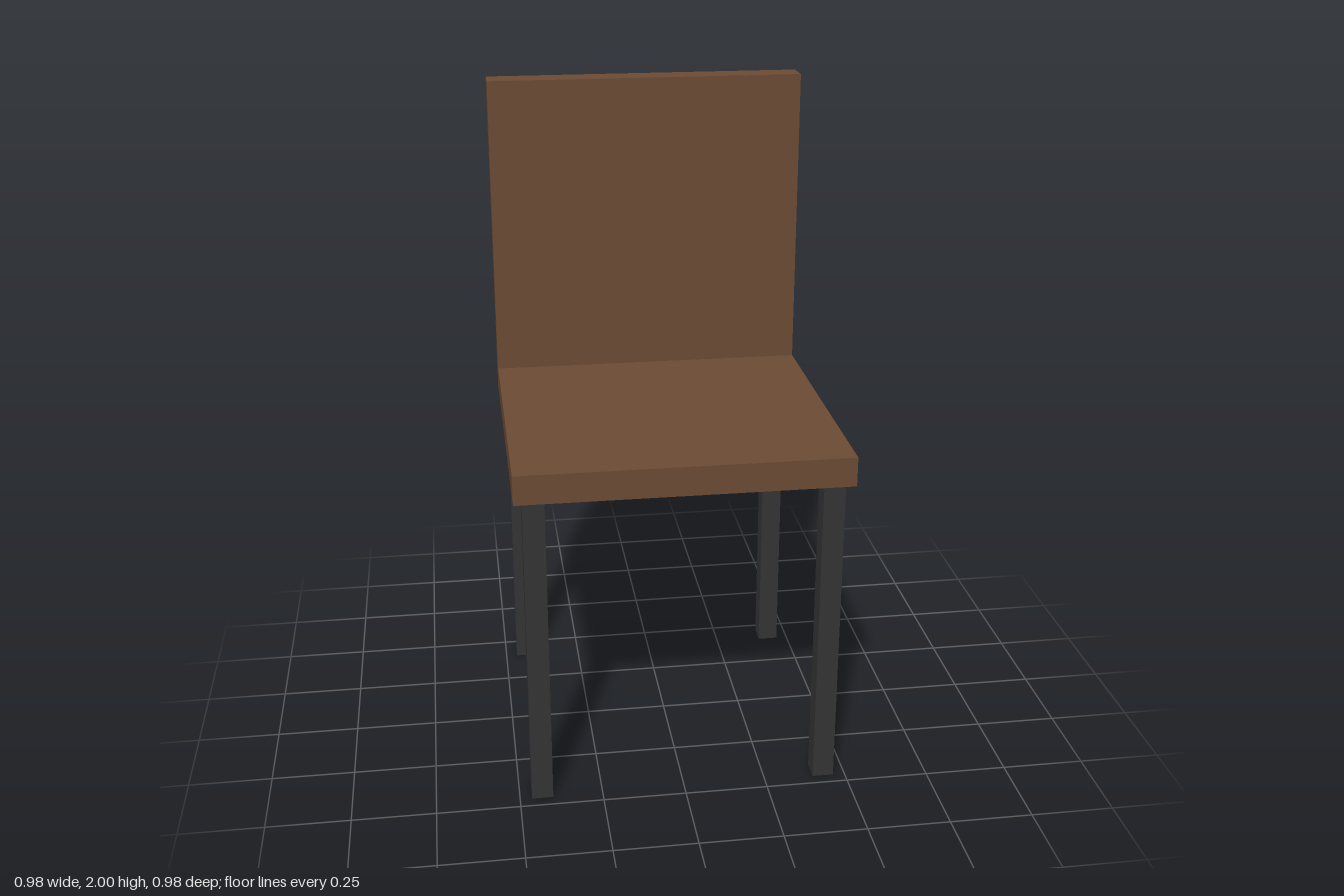
import * as THREE from 'three';

export function createModel() {
  const group = new THREE.Group();
  const wood = new THREE.MeshStandardMaterial({ color: 0x6b4a34 });
  wood.name = 'brown wood';
  const metal = new THREE.MeshStandardMaterial({ color: 0x333333 });
  metal.name = 'dark metal';

  // Box given by its lower and upper corners
  const addBox = (name, material, [x0, y0, z0], [x1, y1, z1]) => {
    const mesh = new THREE.Mesh(new THREE.BoxGeometry(x1 - x0, y1 - y0, z1 - z0), material);
    mesh.position.set((x0 + x1) / 2, (y0 + y1) / 2, (z0 + z1) / 2);
    mesh.name = name;
    group.add(mesh);
  };

  const half = 0.489, seatBottom = 0.982, seatTop = 1.071, backFront = -0.4;

  // Seat slab meets the front of the backrest, which runs down to the seat's underside
  addBox('seat', wood, [-half, seatBottom, backFront], [half, seatTop, half]);
  addBox('backrest', wood, [-half, seatBottom, -half], [half, 2, backFront]);

  // Four square legs, slightly inset from the corners
  const legCentre = 0.432, r = 0.032;
  for (const [side, sx] of [['Left', 1], ['Right', -1]]) {
    for (const [end, sz] of [['front', 1], ['back', -1]]) {
      const x = sx * legCentre, z = sz * legCentre;
      addBox(`${end}${side}Leg`, metal, [x - r, 0, z - r], [x + r, seatBottom, z + r]);
    }
  }
  return group;
}
